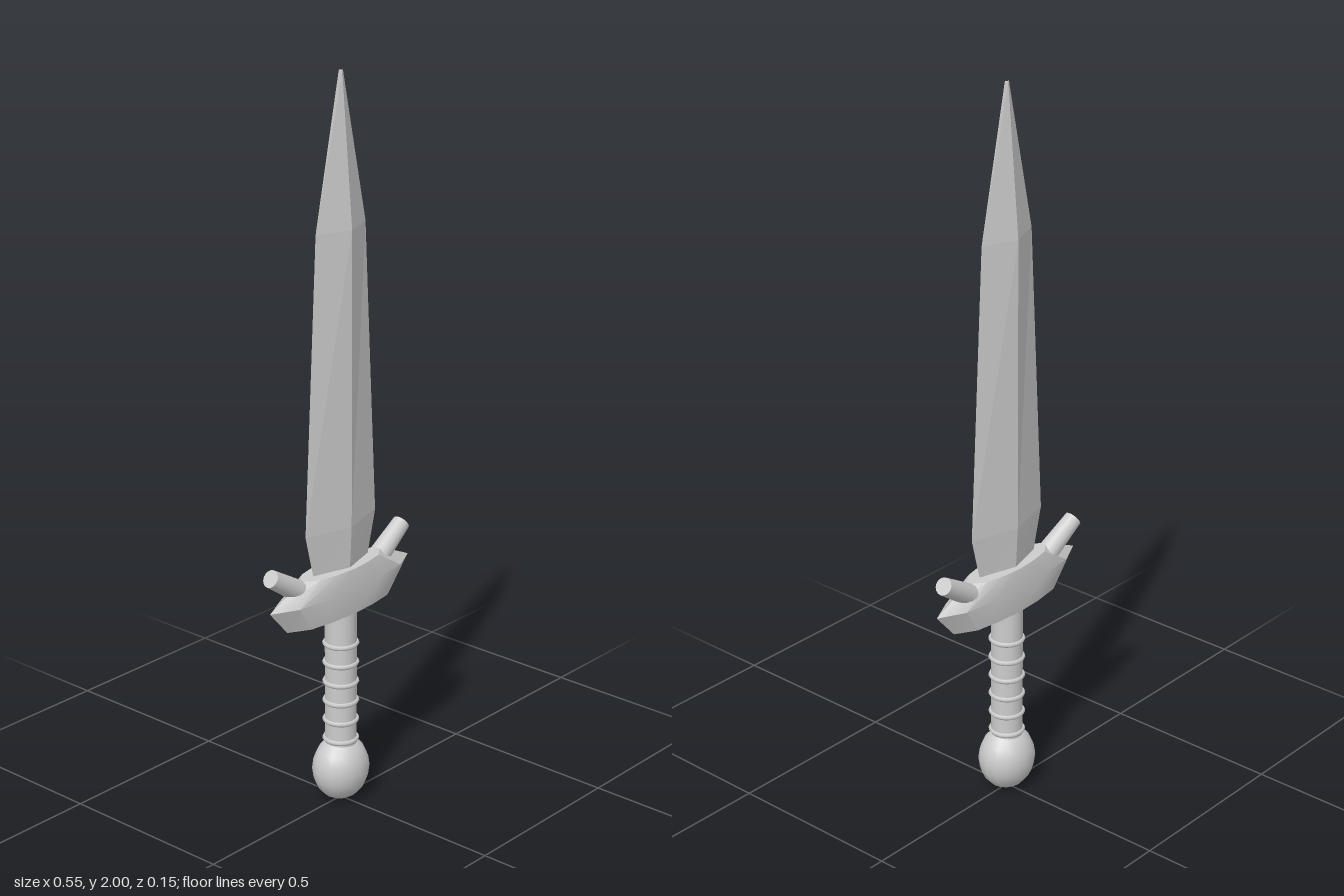
import * as THREE from 'three';
import { toCreasedNormals } from 'three/addons/utils/BufferGeometryUtils.js';

// Skin a stack of horizontal rings (outline scaled per level) and cap both ends.
function loft(outline, levels, crease) {
  const n = outline.length, pos = [], index = [];
  for (const [y, halfX, halfZ] of levels) {
    for (const [u, v] of outline) pos.push(u * halfX, y, v * halfZ);
  }
  for (let i = 0; i < levels.length - 1; i++) {
    for (let j = 0; j < n; j++) {
      const a = i * n + j, b = i * n + (j + 1) % n;
      index.push(a, b, b + n, a, b + n, a + n);
    }
  }
  const top = (levels.length - 1) * n;
  for (let j = 1; j < n - 1; j++) {
    index.push(top, top + j, top + j + 1, 0, j + 1, j);
  }
  const g = new THREE.BufferGeometry();
  g.setAttribute('position', new THREE.Float32BufferAttribute(pos, 3));
  g.setIndex(index);
  return toCreasedNormals(g, crease);
}

export function createModel() {
  const model = new THREE.Group();
  const steel = new THREE.MeshStandardMaterial({ color: 0xcccccc });
  steel.name = 'grey steel';

  const add = (name, geometry) => {
    const mesh = new THREE.Mesh(geometry, steel);
    mesh.name = name;
    model.add(mesh);
    return mesh;
  };

  // Blade: diamond section with a bevelled shoulder and a long point
  const diamond = [[1, 0], [0, -1], [-1, 0], [0, 1]];
  add('blade', loft(diamond, [
    [0.66, 0.103, 0.031],
    [0.80, 0.138, 0.038],
    [1.60, 0.095, 0.038],
    [2.00, 0.008, 0.005],
  ], 0.05));

  // Guard: lens outline, widest at mid height with pointed ends
  const half = [[1, 0], [0.73, 0.67], [0.36, 0.92], [0, 1], [-0.36, 0.92], [-0.73, 0.67]];
  const lens = [
    ...half.map(([u, v]) => [u, -v]),
    ...half.map(([u, v]) => [-u, v]),
  ];
  add('guard', loft(lens, [
    [0.557, 0.21, 0.049],
    [0.63, 0.275, 0.055],
    [0.684, 0.16, 0.047],
  ], 0.45));

  // Prongs: tapered pegs leaning outward from the guard
  for (const side of [1, -1]) {
    const from = new THREE.Vector3(side * 0.13, 0.638, -0.004);
    const to = new THREE.Vector3(side * 0.26, 0.722, -0.011);
    const dir = to.clone().sub(from);
    const prong = add(side > 0 ? 'leftProng' : 'rightProng',
      new THREE.CylinderGeometry(0.024, 0.031, dir.length(), 16));
    prong.position.copy(from).add(to).multiplyScalar(0.5);
    prong.quaternion.setFromUnitVectors(new THREE.Vector3(0, 1, 0), dir.normalize());
  }

  // Grip with raised wrapping rings
  const grip = add('grip', new THREE.CylinderGeometry(0.043, 0.043, 0.42, 20));
  grip.position.y = 0.36;
  for (let i = 0; i < 6; i++) {
    const ring = add('gripRing' + (i + 1), new THREE.TorusGeometry(0.043, 0.007, 6, 20));
    ring.rotation.x = Math.PI / 2;
    ring.position.y = 0.18 + i * 0.056;
  }

  // Pommel: slightly flattened ball
  const pommel = add('pommel', new THREE.SphereGeometry(1, 16, 10));
  pommel.scale.set(0.083, 0.092, 0.074);
  pommel.position.y = 0.095;

  // Rest the pommel on the ground
  pommel.position.y = 0.092;
  return model;
}
